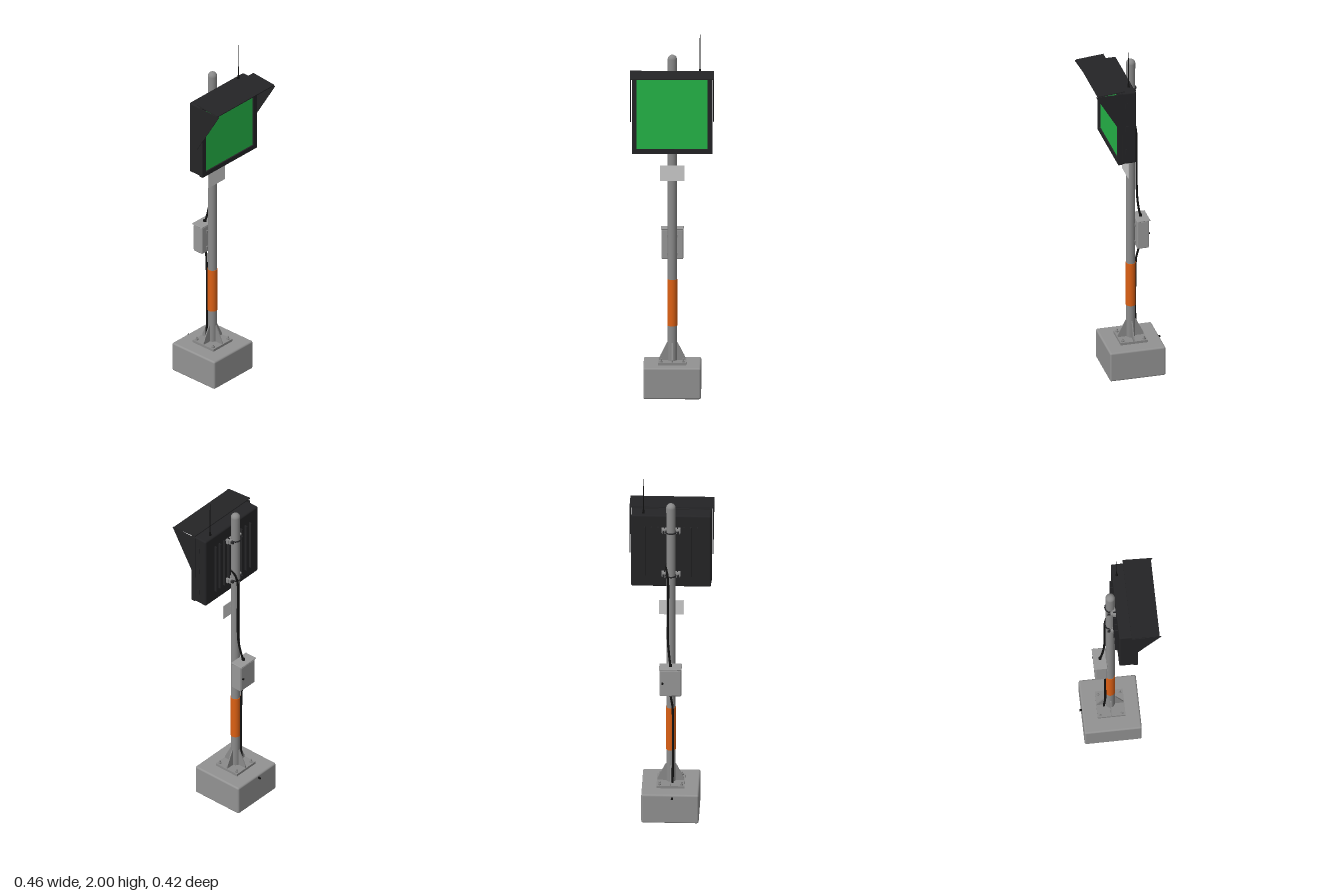
import * as THREE from 'three';
import { RoundedBoxGeometry } from 'three/addons/geometries/RoundedBoxGeometry.js';

export function createModel() {
  const model = new THREE.Group();
  model.name = 'displayPost';
  const mat = (name, color) => {
    const m = new THREE.MeshStandardMaterial({ color });
    m.name = name;
    return m;
  };
  const concrete = mat('concrete', 0x929292);
  const steel = mat('steel', 0x8a8a8a);
  const boxGrey = mat('enclosureGrey', 0x989898);
  const plateGrey = mat('plateGrey', 0xcccccc);
  const dark = mat('housingDark', 0x242426);
  const black = mat('rubberBlack', 0x121212);
  const orange = mat('orange', 0xdc6014);
  const green = mat('screenGreen', 0x25b548);
  const PZ = -0.044; // pole axis

  const add = (name, geo, material, x = 0, y = 0, z = 0, parent = model) => {
    const m = new THREE.Mesh(geo, material);
    m.name = name;
    m.position.set(x, y, z);
    parent.add(m);
    return m;
  };
  const box = (w, h, d) => new THREE.BoxGeometry(w, h, d);
  const round = (w, h, d, r) => new RoundedBoxGeometry(w, h, d, 3, r);
  const cyl = (r, h, n = 16, r2 = r) => new THREE.CylinderGeometry(r2, r, h, n);
  const polygon = pts => new THREE.Shape(pts.map(p => new THREE.Vector2(p[0], p[1])));
  const extrude = (shape, depth) => new THREE.ExtrudeGeometry(shape, { depth, bevelEnabled: false });
  const rect = (w, h) => polygon([[-w, -h], [w, -h], [w, h], [-w, h]]);

  // Concrete footing with a conduit stub at the back
  add('footing', round(0.312, 0.173, 0.312, 0.01), concrete, 0, 0.0865, PZ);
  add('conduitStub', cyl(0.006, 0.02, 12).rotateX(Math.PI / 2), black, -0.011, 0.155, -0.202);

  // Base plate, gussets and anchor bolts
  add('basePlate', box(0.152, 0.014, 0.152), steel, 0, 0.18, PZ);
  const gusset = extrude(polygon([[0.022, 0], [0.072, 0], [0.072, 0.012], [0.028, 0.1], [0.022, 0.1]]), 0.006)
    .translate(0, 0, -0.003);
  for (let i = 0; i < 4; i++) {
    add('gusset', gusset, steel, 0, 0.187, PZ).rotation.y = i * Math.PI / 2;
    const sx = i % 2 ? 1 : -1, sz = i < 2 ? 1 : -1;
    add('anchorNut', cyl(0.009, 0.009, 6), steel, sx * 0.06, 0.191, PZ + sz * 0.06);
    add('anchorBolt', cyl(0.0045, 0.02, 10), steel, sx * 0.06, 0.196, PZ + sz * 0.06);
  }

  // Pole with domed cap
  const R = 0.025, profile = [new THREE.Vector2(R, 0.186), new THREE.Vector2(R, 1.85)];
  add('pole', new THREE.CylinderGeometry(R, R, 1.67, 32, 1, true), steel, 0, 1.02, PZ);
  add('poleCap', new THREE.SphereGeometry(0.0255, 32, 12, 0, Math.PI * 2, 0, Math.PI / 2), steel, 0, 1.853, PZ);
  add('poleCapRim', cyl(0.0255, 0.03, 32), steel, 0, profile[1].y - 0.012, PZ);
  add('orangeBand', cyl(0.0272, 0.257, 32), orange, 0, 0.507, PZ);

  // Small plate on the front of the pole
  add('noticePlate', box(0.132, 0.086, 0.004), plateGrey, 0, 1.228, -0.014);
  add('noticePlateMount', box(0.03, 0.03, 0.012), steel, 0, 1.228, -0.02);

  // Control enclosure on the back of the pole
  const enclosure = new THREE.Group();
  enclosure.name = 'controlEnclosure';
  model.add(enclosure);
  add('enclosureBody', round(0.118, 0.165, 0.064, 0.006), boxGrey, 0, 0.823, -0.098, enclosure);
  add('enclosureDoor', round(0.11, 0.15, 0.006, 0.002), boxGrey, 0, 0.822, -0.13, enclosure);
  add('enclosureRoof', round(0.123, 0.007, 0.074, 0.003), boxGrey, 0, 0.907, -0.102, enclosure);
  add('enclosureLatch', cyl(0.006, 0.008, 12).rotateX(Math.PI / 2), black, 0.043, 0.822, -0.135, enclosure);
  for (const y of [0.77, 0.87]) add('enclosureMount', box(0.06, 0.014, 0.012), steel, 0, y, -0.067, enclosure);

  // Cables
  const cable = (name, pts) => add(name, new THREE.TubeGeometry(
    new THREE.CatmullRomCurve3(pts.map(p => new THREE.Vector3(...p))), 48, 0.006, 8), black);
  cable('upperCable', [[0.02, 1.5, -0.02], [0.026, 1.49, -0.055], [0.016, 1.44, -0.07], [0.015, 1.2, -0.073],
    [0.015, 1.05, -0.076], [0.008, 0.97, -0.086], [0, 0.905, -0.1]]);
  cable('lowerCable', [[0, 0.745, -0.095], [-0.002, 0.71, -0.088], [-0.01, 0.65, -0.077], [-0.012, 0.5, -0.073],
    [-0.012, 0.3, -0.073], [-0.01, 0.187, -0.08]]);
  for (const [x, y, z] of [[0, 0.914, -0.1], [0, 0.737, -0.095]]) add('cableGland', cyl(0.009, 0.014, 12), black, x, y, z);

  // Display cabinet: housing, front frame and lit panel
  const display = new THREE.Group();
  display.name = 'displayCabinet';
  model.add(display);
  const CY = 1.573;
  add('housing', round(0.434, 0.434, 0.084, 0.009), dark, 0, CY, 0.024, display);
  const frame = rect(0.218, 0.218);
  frame.holes.push(rect(0.193, 0.192));
  add('frontFrame', extrude(frame, 0.023), dark, 0, CY, 0.06, display);
  add('screen', box(0.386, 0.384, 0.008), green, 0, CY, 0.071, display);
  for (const x of [0.036, 0.071, 0.107, 0.143])
    for (const s of [-1, 1]) add('coolingRib', box(0.006, 0.3, 0.016), dark, s * x, CY, -0.025, display);
  for (const y of [1.43, 1.57, 1.71]) add('sideHinge', box(0.004, 0.03, 0.014), dark, 0.218, y, 0.035, display);

  // Sun hood: tilted top sheet and triangular cheeks
  const hood = new THREE.Group();
  hood.name = 'sunHood';
  model.add(hood);
  add('hoodTop', box(0.456, 0.005, 0.154), dark, 0, 1.799, 0.125, hood).rotation.x = 0.09;
  const cheek = extrude(polygon([[-0.21, 1.79], [-0.05, 1.525], [-0.05, 1.79]]), 0.005)
    .rotateY(Math.PI / 2).translate(-0.0025, 0, 0);
  for (const s of [-1, 1]) add('hoodCheek', cheek, dark, s * 0.2255, 0, 0, hood);

  // Clamps holding the cabinet to the pole
  for (const y of [1.44, 1.705]) {
    add('clampBar', box(0.104, 0.026, 0.016), steel, 0, y, -0.026);
    add('clampStrap', new THREE.TorusGeometry(0.0285, 0.004, 8, 32).rotateX(Math.PI / 2), dark, 0, y, PZ);
    for (const s of [-1, 1]) {
      add('clampLug', box(0.018, 0.024, 0.014), steel, s * 0.038, y, -0.04);
      add('clampBolt', cyl(0.006, 0.03, 6).rotateX(Math.PI / 2), dark, s * 0.04, y, -0.048);
    }
  }

  // Whip antenna
  add('antennaBase', cyl(0.007, 0.022, 16, 0.005), black, 0.151, 1.8, 0.008);
  add('antennaRod', cyl(0.0028, 0.2, 8, 0.0016), black, 0.151, 1.9, 0.008);

  return model;
}
